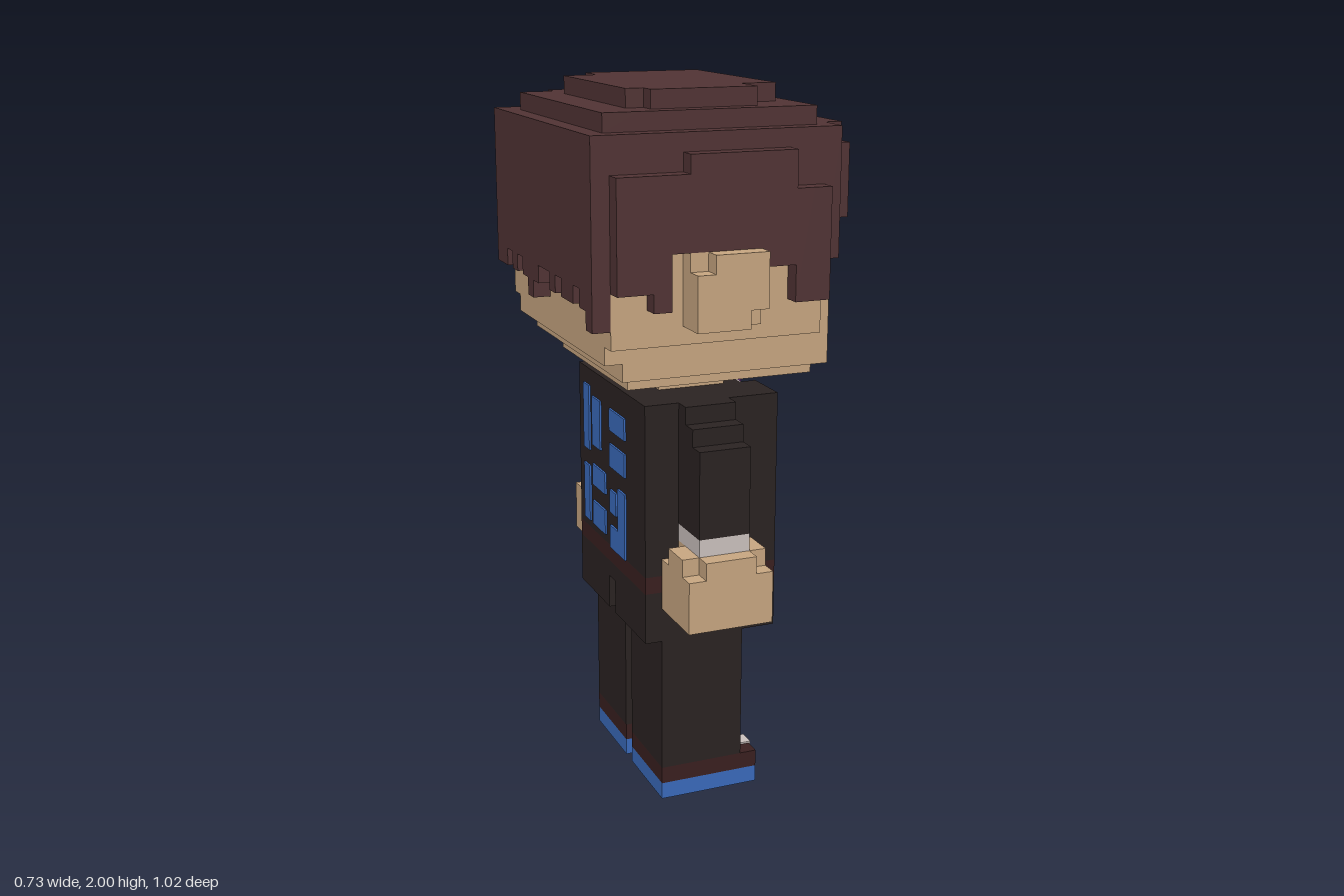
import * as THREE from 'three';

const U = 2 / 41; // one block
const mat = (name, color) => Object.assign(new THREE.MeshStandardMaterial({ color }), { name });

export function createModel() {
  const model = new THREE.Group();
  model.name = 'blockFigure';
  const skin = mat('skin', 0xcaa882), hair = mat('hair brown', 0x523435);
  const cloth = mat('black cloth', 0x2b2322), white = mat('white', 0xcdc3c0);
  const blue = mat('blue', 0x3b6bbd), purple = mat('purple', 0x572470);
  const grey = mat('iris grey', 0x6f7c83), maroon = mat('maroon leather', 0x3a2020);

  // Box in block units: x counts from the back of the hair, z from the middle
  const box = (parent, name, m, x0, x1, y0, y1, z0, z1) => {
    const g = new THREE.BoxGeometry((x1 - x0) * U, (y1 - y0) * U, Math.abs(z1 - z0) * U);
    const mesh = new THREE.Mesh(g, m);
    mesh.position.set(((x0 + x1) / 2 - 7.5) * U, ((y0 + y1) / 2) * U, ((z0 + z1) / 2) * U);
    mesh.name = name;
    parent.add(mesh);
  };
  const group = (name) => {
    const g = new THREE.Group();
    g.name = name;
    model.add(g);
    return g;
  };
  const sides = [1, -1];

  // Head
  const head = group('head');
  box(head, 'neck', skin, 6, 10, 24, 25, -2.5, 2.5);
  box(head, 'chin', skin, 3, 14, 25, 26, -5.5, 5.5);
  box(head, 'jaw', skin, 2, 14, 26, 27, -7.5, 7.5);
  box(head, 'lowerCheeks', skin, 1, 14, 27, 28, -7.5, 7.5);
  box(head, 'skull', skin, 1, 13, 28, 34, -8.5, 8.5);
  box(head, 'face', skin, 13, 14, 28, 38, -7.5, 7.5);
  for (const s of sides) {
    box(head, 'earBase', skin, 5, 9, 29, 33, s * 8.5, s * 9.5);
    box(head, 'earRim', skin, 6, 9, 30, 33, s * 9.5, s * 10.5);
    box(head, 'earLobe', skin, 5, 8, 29, 32, s * 9.5, s * 10.5);
  }

  // Eyes: [material, inner z, outer z, bottom, top]
  for (const s of sides) {
    const eye = group(s > 0 ? 'leftEye' : 'rightEye');
    const parts = [
      [cloth, 1.5, 2.5, 32, 33], [cloth, 2.5, 3.5, 33, 34], [cloth, 4.5, 5.5, 33, 34],
      [cloth, 3.5, 4.5, 30, 33], [grey, 3.5, 4.5, 28, 30], [grey, 4.5, 5.5, 29, 33],
      [white, 5.5, 6.5, 29, 33],
      [s > 0 ? white : grey, 2.5, 3.5, 31, 33], [grey, 2.5, 3.5, 29, 31],
    ];
    for (const [m, a, b, y0, y1] of parts) box(eye, 'eyePlate', m, 14, 14.12, y0, y1, s * a, s * b);
  }

  // Hair: stepped cap plus hanging strands
  const locks = group('hair');
  box(locks, 'cap', hair, 1, 13, 34, 39, -8.5, 8.5);
  box(locks, 'brow', hair, 13, 14, 38, 39, -7.5, 7.5);
  box(locks, 'upperCap', hair, 3, 13, 39, 40, -7.5, 7.5);
  box(locks, 'upperCapBack', hair, 1, 3, 39, 40, -6.5, 7.5);
  box(locks, 'crown', hair, 5, 10, 40, 41, -6.5, 6.5);
  box(locks, 'crownBack', hair, 4, 5, 40, 41, -4.5, 6.5);
  box(locks, 'crownRear', hair, 3, 4, 40, 41, -4.5, 5.5);
  box(locks, 'crownFront', hair, 10, 12, 40, 41, -6.5, 4.5);
  for (const s of sides) box(locks, 'templeStrand', hair, 13, 14, 32, 39, s * 7.5, s * 8.5);
  [34, 33, 34, 33, 34, 35, 36, 35, 35, 34, 34, 34, 33, 33, 32].forEach((y, i) =>
    box(locks, 'fringeStrand', hair, 14, 15, y, i === 0 || i === 14 ? 38 : 39, 6.5 - i, 7.5 - i));
  [29, 30, 31, 30, 30, 31, 30, 31, 31, 30, 29, 30, 31, 30, 31, 30, 30].forEach((y, i) =>
    box(locks, 'backStrand', hair, 0, 1, y, 39, 7.5 - i, 8.5 - i));
  const sideEnds = {
    1: [31, 31, 30, 33, 33, 33, 33, 33, 32, 32, 30, 30],
    '-1': [31, 31, 32, 33, 33, 33, 33, 33, 32, 32, 29, 28],
  };
  for (const s of sides) sideEnds[s].forEach((y, i) => {
    const top = i >= 10 ? 36 : i >= 4 ? 38 : 37;
    box(locks, 'sideStrand', hair, i + 1, i + 2, y, top, s * 8.5, s * 9.5);
  });

  // Jacket and belt
  const torso = group('torso');
  box(torso, 'jacketBody', cloth, 4, 11, 15, 24, -5.5, 5.5);
  box(torso, 'jacketHem', cloth, 4, 12, 14, 15, -5.5, 5.5);
  box(torso, 'belt', maroon, 4, 12, 13, 14, -5.5, 5.5);
  box(torso, 'hips', cloth, 4, 12, 12, 13, -5.5, 5.5);
  for (const s of sides) {
    box(torso, 'lapel', cloth, 11, 12, 15, 24, s * 2.5, s * 5.5);
    box(torso, 'beltStud', blue, 12, 12.12, 13, 14, s * 1.5, s * 2.5);
    box(torso, 'hip', cloth, 4, 12, 10, 12, s * 0.5, s * 5.5);
  }

  // Shirt and striped tie
  box(torso, 'shirt', white, 11, 11.12, 15, 24, -2.5, 2.5);
  box(torso, 'shirtStripe', purple, 11.12, 11.24, 18, 19, -2.5, 2.5);
  box(torso, 'tieKnot', purple, 11, 12, 23, 24, -0.5, 0.5);
  [purple, white, purple].forEach((m, i) =>
    box(torso, 'tieBand', m, 11, 12, 22 - i, 23 - i, -1.5, 1.5));

  // Abstract blocks on the back of the jacket: [z0, z1, y0, y1]
  const patches = [
    [-4.5, -3.5, 14.5, 18], [-4.5, -3.5, 19, 23], [-3, -0.8, 14.5, 16], [-3, -0.8, 17, 18.3],
    [-3, -1.6, 19.5, 22.5], [0, 2.5, 14, 15.4], [1.3, 2.5, 15.4, 18], [0, 1, 16.2, 17.6],
    [0, 2.5, 19, 20.4], [0, 2.5, 21.2, 22.5],
  ];
  for (const [z0, z1, y0, y1] of patches) box(torso, 'backPatch', blue, 3.88, 4, y0, y1, z0, z1);

  for (const s of sides) {
    // Arm with stepped shoulder, cuff and hand
    const arm = group(s > 0 ? 'leftArm' : 'rightArm');
    [24, 23, 22].forEach((top, i) =>
      box(arm, 'sleeve', cloth, 6, 9, 17, top, s * (5.5 + i), s * (6.5 + i)));
    box(arm, 'cuff', white, 6, 9, 16, 17, s * 5.5, s * 8.5);
    box(arm, 'hand', skin, 5, 10, 12, 15, s * 5.5, s * 9.5);
    box(arm, 'handTop', skin, 6, 9, 15, 16, s * 5.5, s * 9.5);
    box(arm, 'knuckles', skin, 5, 10, 15, 16, s * 6.5, s * 8.5);
    box(arm, 'thumb', skin, 10, 11, 12, 14, s * 5.5, s * 6.5);

    // Leg and shoe
    const leg = group(s > 0 ? 'leftLeg' : 'rightLeg');
    box(leg, 'trouserLeg', cloth, 5, 10, 2, 10, s * 0.5, s * 5.5);
    box(leg, 'shoe', maroon, 5, 11, 1, 2, s * 0.5, s * 5.5);
    box(leg, 'sole', blue, 5, 11, 0, 1, s * 0.5, s * 5.5);
    for (const z of [1.5, 3.5]) {
      box(leg, 'lace', white, 10, 11.1, 1, 2.1, s * z, s * (z + 1));
    }
  }
  box(model.getObjectByName('rightLeg'), 'anklePatch', skin, 7, 10, 1, 2, -5.5, -5.6);

  return model;
}
